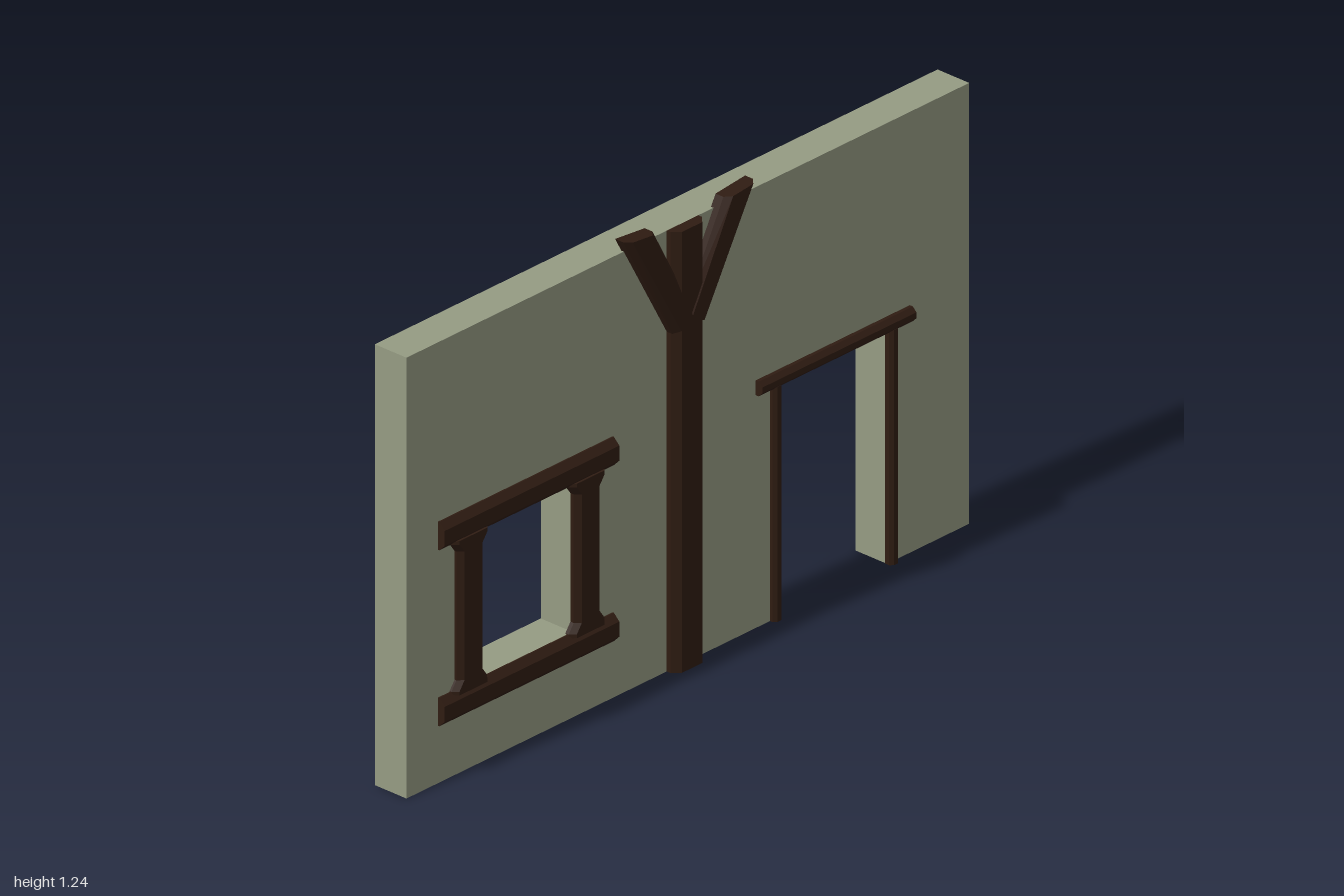
import * as THREE from 'three';

const plaster = new THREE.MeshStandardMaterial({ color: 0x959b83 });
const wood = new THREE.MeshStandardMaterial({ color: 0x2f1c12, flatShading: true });

// Chamfered timber lofted through sections; each section is [left xy, right xy] as seen along the beam
function timber(name, sections, z0, z1, c) {
  const loops = sections.map(([a, b]) => {
    const A = new THREE.Vector2(...a), B = new THREE.Vector2(...b);
    const t = c / A.distanceTo(B);
    const a2 = A.clone().lerp(B, t), b2 = B.clone().lerp(A, t);
    return [[A, z0], [A, z1 - c], [a2, z1], [b2, z1], [B, z1 - c], [B, z0]]
      .map(([p, z]) => [p.x, p.y, z]);
  });
  const pos = [];
  const tri = (...pts) => pts.forEach((p) => pos.push(...p));
  const n = 6;
  for (let i = 0; i < loops.length - 1; i++) {
    for (let j = 0; j < n; j++) {
      const k = (j + 1) % n, lo = loops[i], hi = loops[i + 1];
      tri(lo[j], lo[k], hi[k]);
      tri(lo[j], hi[k], hi[j]);
    }
  }
  const first = loops[0], last = loops[loops.length - 1];
  for (let j = 1; j < n - 1; j++) {
    tri(first[0], first[j + 1], first[j]);
    tri(last[0], last[j], last[j + 1]);
  }
  const g = new THREE.BufferGeometry();
  g.setAttribute('position', new THREE.Float32BufferAttribute(pos, 3));
  g.computeVertexNormals();
  const mesh = new THREE.Mesh(g, wood);
  mesh.name = name;
  return mesh;
}

const post = (name, x0, x1, y0, y1, z0, z1, c) =>
  timber(name, [[[x0, y0], [x1, y0]], [[x0, y1], [x1, y1]]], z0, z1, c);
const rail = (name, x0, x1, y0, y1, z0, z1, c) =>
  timber(name, [[[x0, y1], [x0, y0]], [[x1, y1], [x1, y0]]], z0, z1, c);

// Window jamb that flares where it meets the rails
function jamb(name, x0, x1, y0, y1) {
  const f = 0.018, h = 0.035;
  const rows = [[y0, f], [y0 + 0.01, f], [y0 + h, 0], [y1 - h, 0], [y1 - 0.01, f], [y1, f]];
  return timber(name, rows.map(([y, e]) => [[x0 - e, y], [x1 + e, y]]), 0.03, 0.055, 0.014);
}

export function createModel() {
  const model = new THREE.Group();
  model.name = 'timberedWall';

  // Wall slab with doorway notch and window hole
  const shape = new THREE.Shape();
  [[-1, 0], [0.32, 0], [0.32, 0.635], [0.708, 0.635], [0.708, 0], [1, 0], [1, 1.2], [-1, 1.2]]
    .forEach(([x, y], i) => (i ? shape.lineTo(x, y) : shape.moveTo(x, y)));
  const hole = new THREE.Path();
  [[-0.74, 0.233], [-0.74, 0.635], [-0.41, 0.635], [-0.41, 0.233]]
    .forEach(([x, y], i) => (i ? hole.lineTo(x, y) : hole.moveTo(x, y)));
  shape.holes.push(hole);
  const wallGeo = new THREE.ExtrudeGeometry(shape, { depth: 0.105, bevelEnabled: false });
  wallGeo.translate(0, 0, -0.07);
  const wall = new THREE.Mesh(wallGeo, plaster);
  wall.name = 'wall';
  model.add(wall);

  // Window frame
  const windowFrame = new THREE.Group();
  windowFrame.name = 'windowFrame';
  windowFrame.add(
    rail('windowTopRail', -0.888, -0.267, 0.635, 0.712, 0.03, 0.057, 0.018),
    rail('windowBottomRail', -0.888, -0.267, 0.156, 0.233, 0.03, 0.057, 0.018),
    jamb('windowRightJamb', -0.829, -0.738, 0.225, 0.645),
    jamb('windowLeftJamb', -0.412, -0.321, 0.225, 0.645),
  );
  model.add(windowFrame);

  // Door frame
  const doorFrame = new THREE.Group();
  doorFrame.name = 'doorFrame';
  doorFrame.add(
    rail('doorLintel', 0.241, 0.789, 0.634, 0.674, 0.03, 0.057, 0.012),
    post('doorRightPost', 0.292, 0.322, 0, 0.64, 0.03, 0.052, 0.008),
    post('doorLeftPost', 0.706, 0.737, 0, 0.64, 0.03, 0.052, 0.008),
  );
  model.add(doorFrame);

  // Central post with two raking braces
  const centre = new THREE.Group();
  centre.name = 'centralPost';
  centre.add(post('trunk', -0.075, 0.037, 0, 1.2, 0.03, 0.067, 0.02));
  const brace = [[[-0.075, 0.925], [0, 0.96]], [[-0.25, 1.24], [-0.145, 1.23]]];
  const flip = ([x, y]) => [-0.038 - x, y];
  centre.add(timber('rightBrace', brace, 0.027, 0.07, 0.017));
  centre.add(timber('leftBrace', brace.map(([a, b]) => [flip(b), flip(a)]), 0.027, 0.07, 0.017));
  model.add(centre);

  return model;
}
